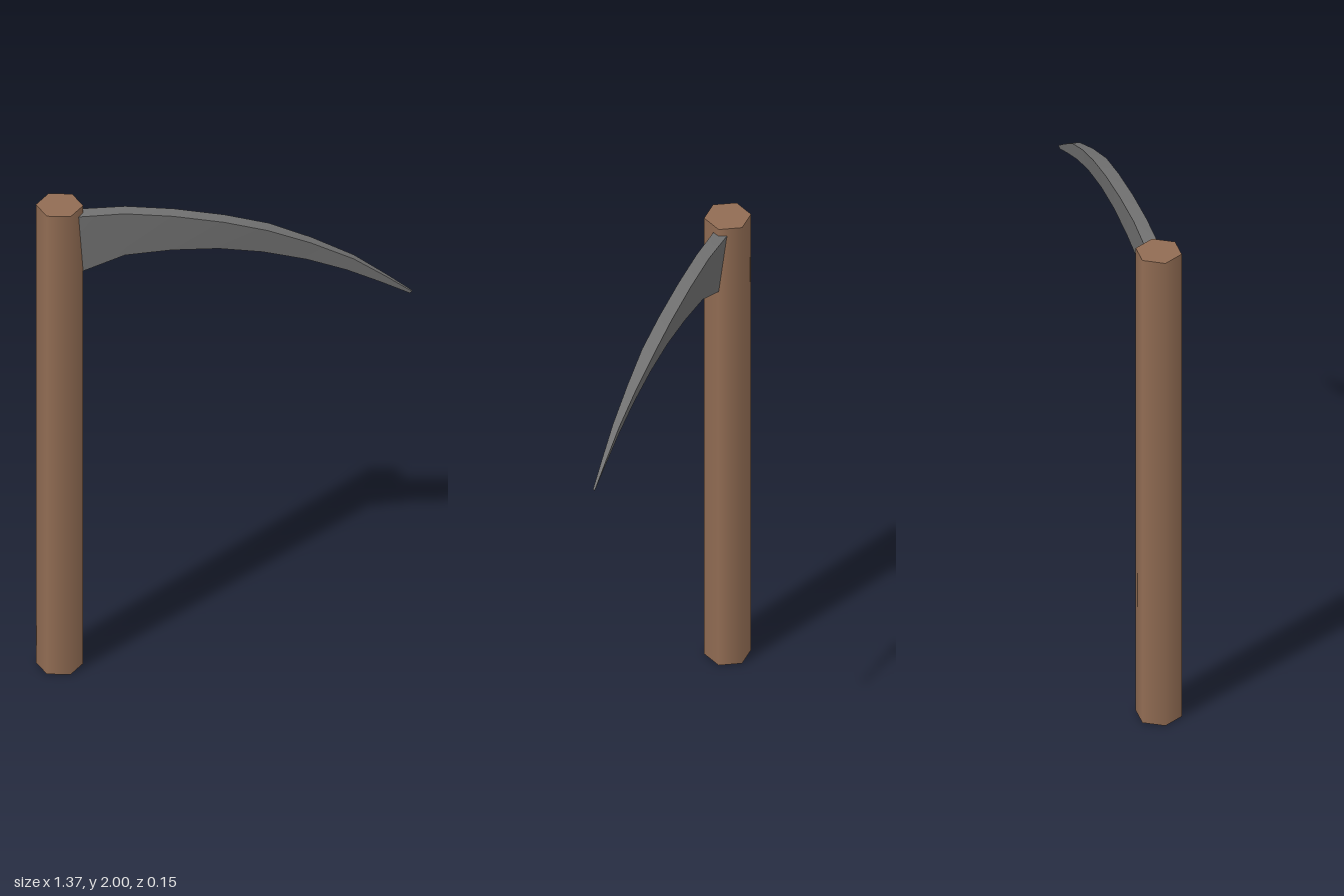
import * as THREE from 'three';
import { toCreasedNormals } from 'three/addons/utils/BufferGeometryUtils.js';

// Blade stations from root to tip: spine x, y, edge x, y, half thickness of the spine
const STATIONS = [
  [-0.545, 1.966, -0.525, 1.708, 0.027],
  [-0.36, 1.985, -0.36, 1.788, 0.025],
  [-0.185, 1.979, -0.19, 1.815, 0.025],
  [0, 1.958, -0.02, 1.826, 0.025],
  [0.16, 1.926, 0.14, 1.816, 0.025],
  [0.315, 1.873, 0.30, 1.788, 0.019],
  [0.47, 1.804, 0.445, 1.746, 0.0133],
  [0.59, 1.726, 0.566, 1.698, 0.008],
  [0.683, 1.661, 0.674, 1.651, 0.004],
];

// Triangular sections: thick spine on top, sharp edge below
function bladeGeometry() {
  const positions = [];
  const index = [];
  for (const [sx, sy, ex, ey, w] of STATIONS) {
    positions.push(sx, sy, w, sx, sy, -w, ex, ey, 0);
  }
  const quad = (a, b, c, d) => index.push(a, b, c, a, c, d);
  const last = (STATIONS.length - 1) * 3;
  for (let i = 0; i < last; i += 3) {
    quad(i, i + 3, i + 4, i + 1); // spine
    quad(i + 2, i + 5, i + 3, i); // front face
    quad(i + 1, i + 4, i + 5, i + 2); // back face
  }
  index.push(0, 1, 2); // root cap
  index.push(last, last + 2, last + 1); // tip cap
  const geometry = new THREE.BufferGeometry();
  geometry.setAttribute('position', new THREE.Float32BufferAttribute(positions, 3));
  geometry.setIndex(index);
  return toCreasedNormals(geometry, Math.PI / 6);
}

export function createModel() {
  const wood = new THREE.MeshStandardMaterial({ color: 0x916c53 });
  wood.name = 'brown wood';
  const steel = new THREE.MeshStandardMaterial({ color: 0x707070 });
  steel.name = 'grey steel';

  const model = new THREE.Group();
  model.name = 'sickle';

  // Six-sided handle with corners pointing along x
  const handle = new THREE.Mesh(
    new THREE.CylinderGeometry(0.086, 0.086, 2, 6, 1, false, Math.PI / 2),
    wood,
  );
  handle.name = 'handle';
  handle.position.set(-0.598, 1, 0);
  model.add(handle);

  // Curved blade
  const blade = new THREE.Mesh(bladeGeometry(), steel);
  blade.name = 'blade';
  model.add(blade);

  return model;
}
